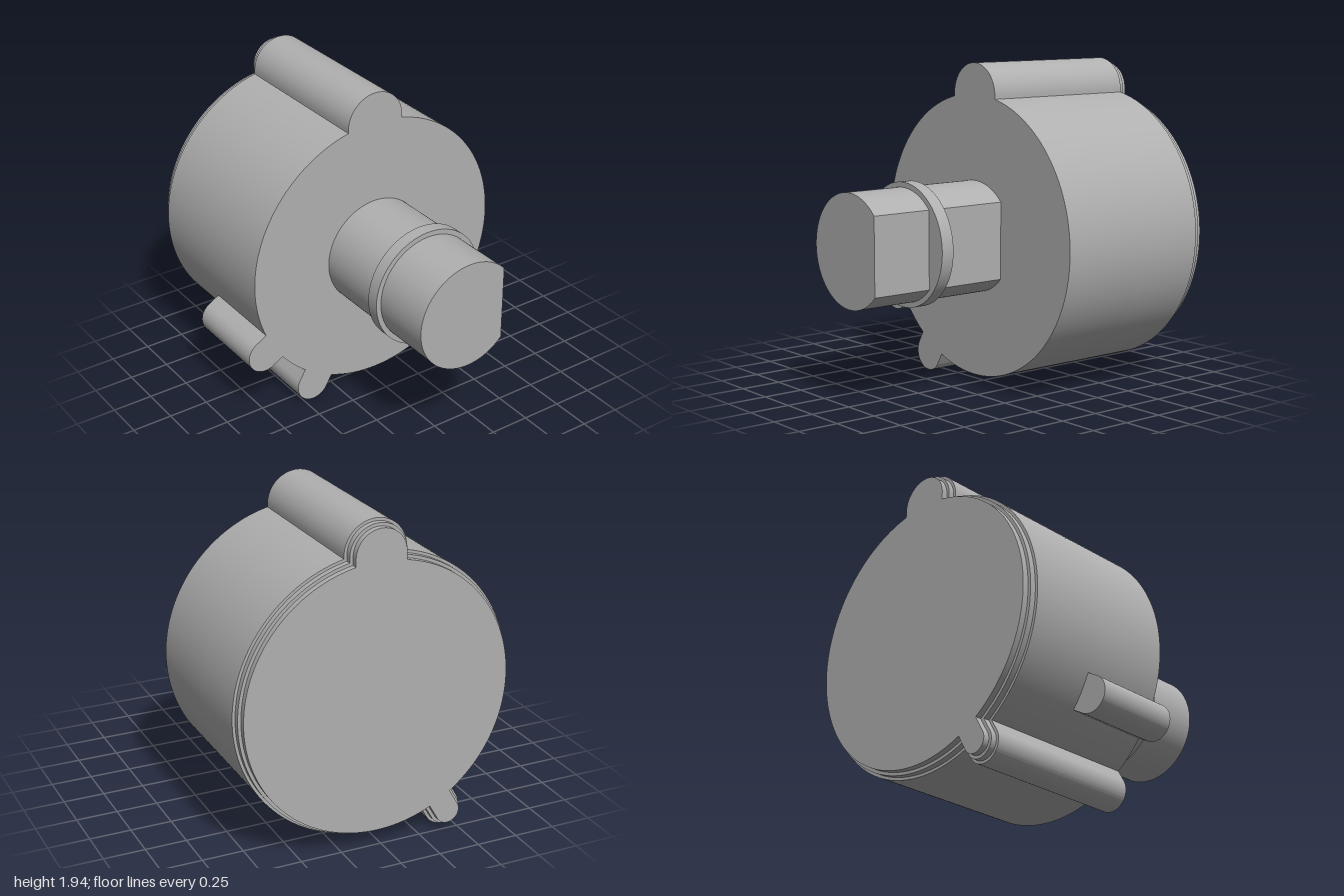
import * as THREE from 'three';
import { toCreasedNormals } from 'three/addons/utils/BufferGeometryUtils.js';

const CX = 0.025, CY = 0.91, BODY_R = 0.85;
const rad = THREE.MathUtils.degToRad;

// Lugs around the housing: direction, centre distance, radius
const topLug = { angle: rad(90), dist: 0.845, r: 0.19 };
const shortLug = { angle: rad(210), dist: 0.92, r: 0.11 };
const longLug = { angle: rad(240), dist: 0.92, r: 0.11 };

// Round outline with straight-sided, round-ended lugs, optionally inset
function housingShape(lugs, inset = 0) {
  const shape = new THREE.Shape();
  const R = BODY_R - inset;
  const half = (lug) => Math.asin((lug.r - inset) / R);
  lugs.forEach((lug, i) => {
    const { angle, dist, r } = lug;
    shape.absarc(dist * Math.cos(angle), dist * Math.sin(angle), r - inset,
      angle - Math.PI / 2, angle + Math.PI / 2, false);
    const next = lugs[(i + 1) % lugs.length];
    const turn = i === lugs.length - 1 ? Math.PI * 2 : 0;
    shape.absarc(0, 0, R, angle + half(lug), next.angle + turn - half(next), false);
  });
  shape.closePath();
  return shape;
}

// Round shaft section with one flat side towards +x
function shaftShape(r, flatX) {
  const a = Math.acos(flatX / r);
  const shape = new THREE.Shape();
  shape.absarc(0, 0, r, a, Math.PI * 2 - a, false);
  shape.closePath();
  return shape;
}

function discShape(r) {
  const shape = new THREE.Shape();
  shape.absarc(0, 0, r, 0, Math.PI * 2, false);
  return shape;
}

export function createModel() {
  const group = new THREE.Group();
  group.name = 'motorHousing';
  const grey = new THREE.MeshStandardMaterial({ color: 0xb0b0b0 });
  grey.name = 'grey';

  // Extrude a section between two depths, keeping sharp edges
  function addPart(name, shape, zBack, zFront) {
    const geometry = new THREE.ExtrudeGeometry(shape, {
      depth: zFront - zBack, bevelEnabled: false, curveSegments: 64,
    });
    const mesh = new THREE.Mesh(toCreasedNormals(geometry, 0.4), grey);
    mesh.name = name;
    mesh.position.set(CX, CY, zBack);
    group.add(mesh);
  }

  // Housing: the short lug only reaches part of the way back
  addPart('housingFront', housingShape([topLug, shortLug, longLug]), -0.46, 0.09);
  addPart('housingRear', housingShape([topLug, longLug]), -0.927, -0.46);

  // Two stepped rims at the back
  addPart('rearStep', housingShape([topLug, longLug], 0.017), -0.963, -0.927);
  addPart('rearCover', housingShape([topLug, longLug], 0.036), -1, -0.963);

  // Flattened shaft with its collar
  addPart('shaft', shaftShape(0.336, 0.245), 0.09, 1);
  addPart('collar', discShape(0.367), 0.54, 0.62);

  return group;
}
